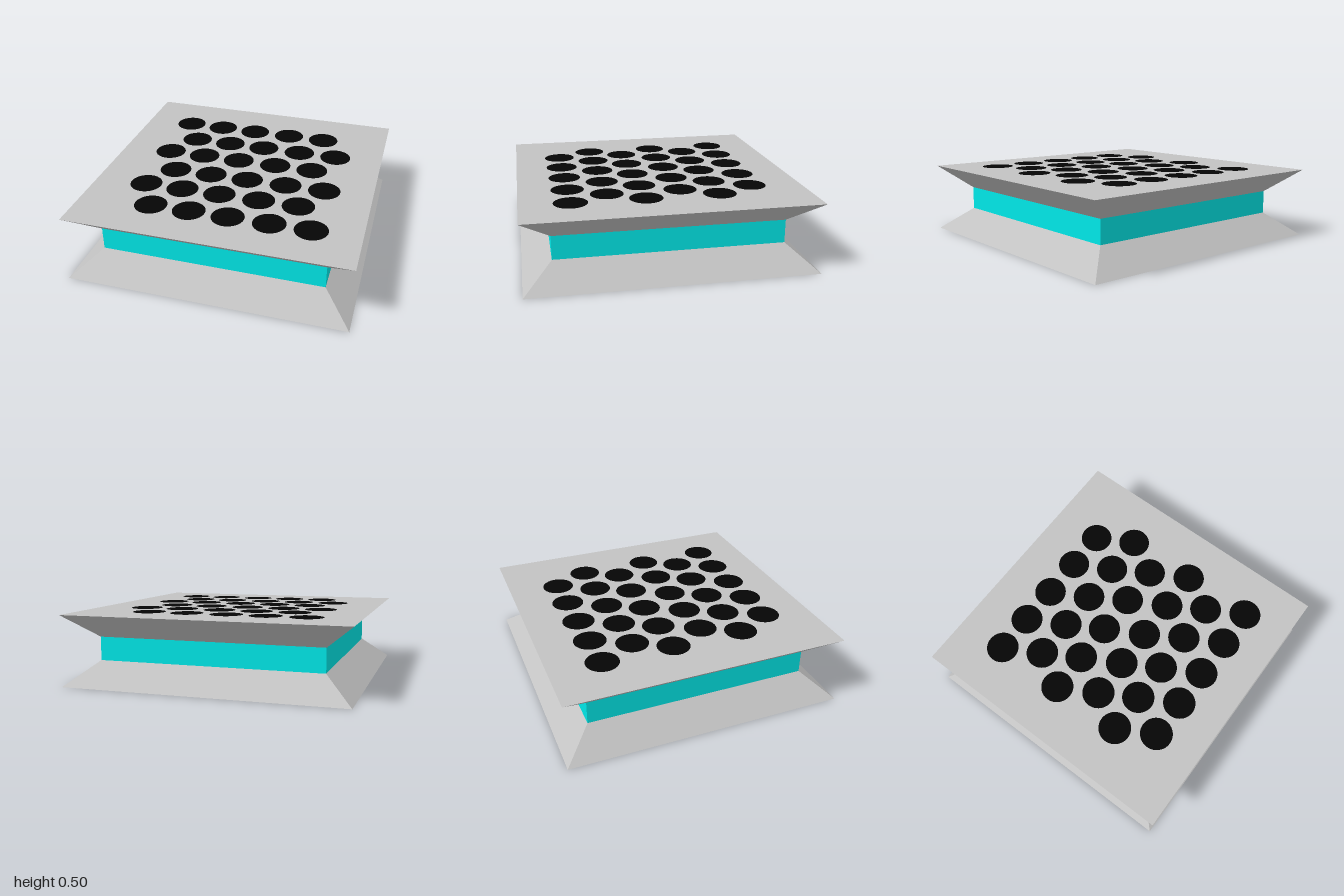
import * as THREE from 'three';

export function createModel() {
  const group = new THREE.Group();
  const material = (name, color, options = {}) => {
    const m = new THREE.MeshStandardMaterial({ color, ...options });
    m.name = name;
    return m;
  };
  const grey = material('grey', 0xc2c2c2, { flatShading: true });
  const cyan = material('cyan', 0x00f4f4, { flatShading: true });
  const black = material('black', 0x050505);

  const add = (name, geometry, mat, x, y, z) => {
    const mesh = new THREE.Mesh(geometry, mat);
    mesh.name = name;
    mesh.position.set(x, y, z);
    group.add(mesh);
  };

  const layer = 0.5 / 3;
  const outer = 1, inner = 0.8;

  // Square frustum from the half widths of its top and bottom
  const frustum = (top, bottom) => new THREE.CylinderGeometry(
    top * Math.SQRT2, bottom * Math.SQRT2, layer, 4, 1, false, Math.PI / 4);

  // Flared base, straight waist and flared top
  add('base', frustum(inner, outer), grey, 0, layer / 2, 0);
  add('waist', new THREE.BoxGeometry(inner * 2, layer, inner * 2), cyan, 0, layer * 1.5, 0);
  add('top', frustum(outer, inner), grey, 0, layer * 2.5, 0);

  // Staggered rows of round spots lying flat on the top
  const spot = new THREE.CircleGeometry(0.116, 48).rotateX(-Math.PI / 2);
  const rows = [-0.63, -0.37, -0.12, 0.145, 0.395, 0.655];
  const steps = [0, 0.28, 0.56, 0.85, 1.135];
  rows.forEach((z, row) => {
    const start = (row % 2 ? -0.49 : -0.632) + Math.floor(row / 2) * 0.006;
    steps.forEach((step) => add('spot', spot, black, start + step, 0.502, z));
  });

  return group;
}
